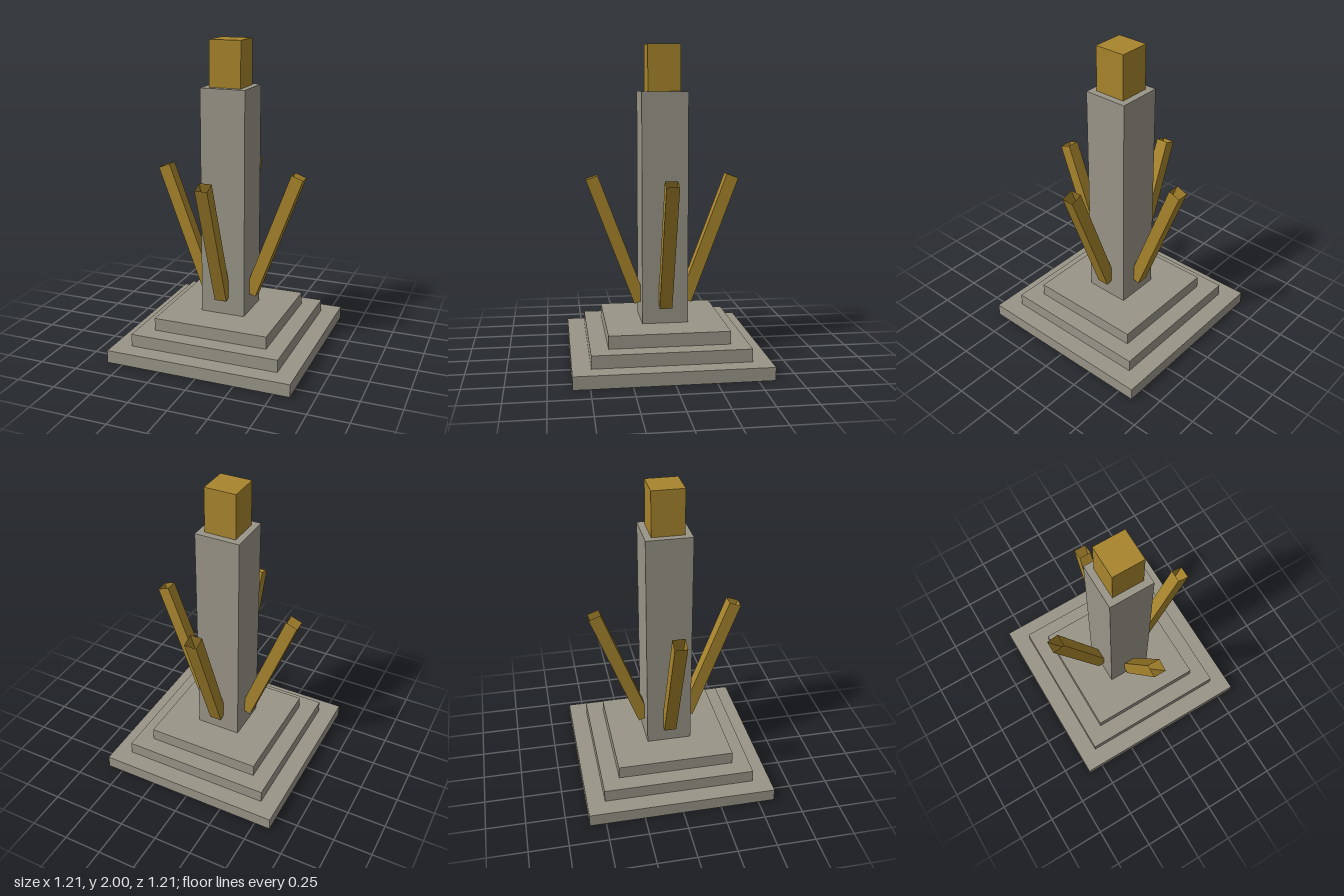
import * as THREE from 'three';

const stone = new THREE.MeshStandardMaterial({ color: 0x999588, side: THREE.DoubleSide });
stone.name = 'warm grey stone';
const gold = new THREE.MeshStandardMaterial({ color: 0xa8852d, side: THREE.DoubleSide });
gold.name = 'old gold';

// Box face numbers: 0 +x, 1 -x, 2 +y, 3 -y, 4 +z, 5 -z
const TOP = 2, BOTTOM = 3;

// Box shell with some of its faces left open
function openBox(w, h, d, openFaces) {
  const geometry = new THREE.BoxGeometry(w, h, d);
  const index = Array.from(geometry.index.array);
  geometry.setIndex(index.filter((_, i) => !openFaces.includes(Math.floor(i / 6))));
  geometry.clearGroups();
  return geometry;
}

// Square block standing between two heights, open underneath
function block(name, width, y0, y1, material) {
  const mesh = new THREE.Mesh(openBox(width, y1 - y0, width, [BOTTOM]), material);
  mesh.name = name;
  mesh.position.y = (y0 + y1) / 2;
  return mesh;
}

export function createModel() {
  const model = new THREE.Group();
  model.name = 'monument';

  // Stepped base, pillar and cap
  model.add(
    block('lowerStep', 1.21, 0, 0.082, stone),
    block('middleStep', 0.98, 0.082, 0.163, stone),
    block('upperStep', 0.757, 0.163, 0.245, stone),
    block('pillar', 0.292, 0.245, 1.71, stone),
    block('cap', 0.206, 1.71, 2, gold)
  );

  // Four hollow bars leaning outward, one on each side of the pillar
  const barGeometry = openBox(0.08, 0.864, 0.08, [TOP, BOTTOM]);
  ['leftBar', 'backBar', 'rightBar', 'frontBar'].forEach((name, i) => {
    const bar = new THREE.Group();
    bar.name = name;
    const shell = new THREE.Mesh(barGeometry, gold);
    shell.name = name + 'Shell';
    shell.position.set(0.3, 0.767, 0);
    shell.rotation.z = -0.36;
    bar.add(shell);
    bar.rotation.y = i * Math.PI / 2;
    model.add(bar);
  });

  return model;
}
